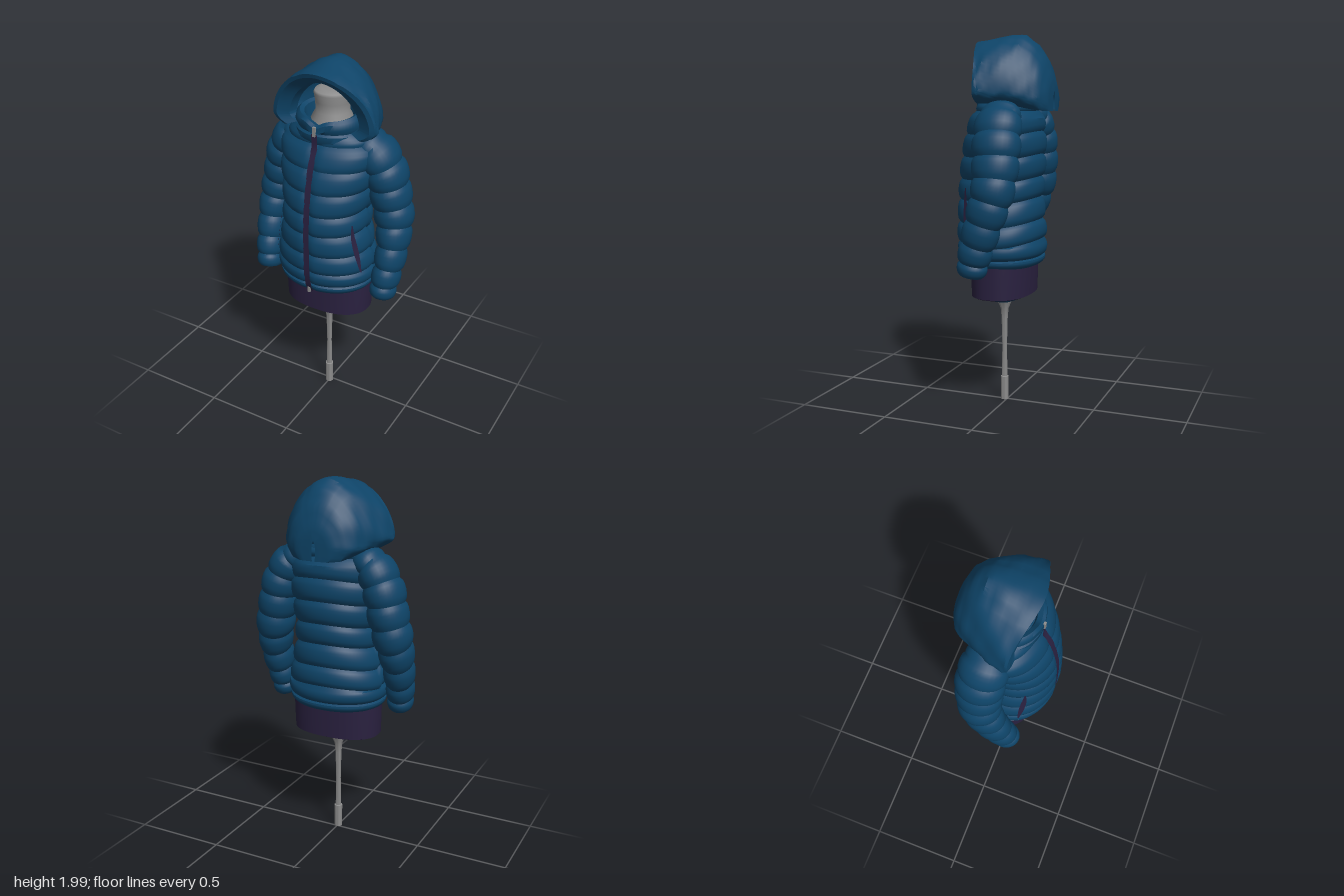
import * as THREE from 'three';
import { toCreasedNormals } from 'three/addons/utils/BufferGeometryUtils.js';

const V = (x, y, z) => new THREE.Vector3(x, y, z);

// Skin a list of rings (each an array of points) with quads
function loft(rows, closed = true, crease = 0.7) {
  const n = rows[0].length, index = [];
  for (let i = 0; i < rows.length - 1; i++) {
    for (let j = 0; j < (closed ? n : n - 1); j++) {
      const k = (j + 1) % n;
      const a = i * n + j, b = i * n + k, c = (i + 1) * n + k, d = (i + 1) * n + j;
      index.push(a, b, c, a, c, d);
    }
  }
  const geo = new THREE.BufferGeometry().setFromPoints(rows.flat());
  geo.setIndex(index);
  geo.computeVertexNormals();
  return toCreasedNormals(geo, crease);
}

// Smooth lookup in a table whose first column is the key
function lookup(table, t) {
  let i = 0;
  while (i < table.length - 2 && t > table[i + 1][0]) i++;
  const a = table[i], b = table[i + 1];
  const f = THREE.MathUtils.clamp((t - a[0]) / (b[0] - a[0]), 0, 1);
  return a.map((v, k) => v + (b[k] - v) * f);
}

// Horizontal oval with its own front and back depth; angle 0 is the front
function oval(angle, y, hx, zf, zb, power = 1) {
  const s = Math.sin(angle), c = Math.cos(angle), mid = (zf + zb) / 2, hz = (zf - zb) / 2;
  return V(hx * Math.sign(s) * Math.abs(s) ** power, y, mid + hz * Math.sign(c) * Math.abs(c) ** power);
}
const ring = (n, f) => Array.from({ length: n }, (_, j) => f(j / n * Math.PI * 2));

// Torso outline: height, half width, front z, back z
const TORSO = [
  [0.775, 0.25, 0.23, -0.185], [0.82, 0.275, 0.25, -0.205], [0.9, 0.28, 0.264, -0.212],
  [1.0, 0.264, 0.265, -0.205], [1.13, 0.24, 0.265, -0.198], [1.25, 0.236, 0.258, -0.203],
  [1.36, 0.25, 0.242, -0.208], [1.48, 0.268, 0.215, -0.203], [1.57, 0.27, 0.18, -0.187],
  [1.63, 0.225, 0.145, -0.165], [1.67, 0.165, 0.125, -0.13], [1.69, 0.11, 0.1, -0.1]];
const SEAMS = [0.775, 0.825, 0.905, 1.01, 1.13, 1.24, 1.36, 1.48, 1.6, 1.69];

function torsoPoint(angle, y, puff) {
  const [, hx, zf, zb] = lookup(TORSO, y), d = 0.02 * (1 - puff);
  const p = oval(angle, y, hx - d, zf - d * 0.8, zb + d, 0.95);
  if (p.z > 0) p.z -= 0.014 * Math.exp(-((p.x / 0.02) ** 2)); // groove for the zip
  // quilting dips toward the sides at the back
  if (p.z < 0 && y > 0.9 && y < 1.55) p.y += 0.015 * Math.cos(angle * 2);
  return p;
}

function torso() {
  const rows = [ring(80, a => oval(a, 0.8, 0.2, 0.15, -0.12))];
  for (let s = 0; s < SEAMS.length - 1; s++) {
    for (let k = s ? 1 : 0; k <= 7; k++) {
      const f = k / 7, y = THREE.MathUtils.lerp(SEAMS[s], SEAMS[s + 1], f);
      rows.push(ring(80, a => torsoPoint(a, y, Math.sqrt(Math.sin(Math.PI * f) + 1e-6))));
    }
  }
  return loft(rows);
}

// Sleeve: centre x, y, z, half width, half depth from shoulder to cuff
const SLEEVE = [
  [0.15, 1.6, -0.04, 0.07, 0.09], [0.23, 1.555, -0.045, 0.1, 0.125], [0.29, 1.45, -0.055, 0.11, 0.13],
  [0.32, 1.33, -0.06, 0.108, 0.125], [0.348, 1.2, -0.055, 0.106, 0.115], [0.364, 1.08, -0.025, 0.09, 0.107],
  [0.364, 0.95, 0.015, 0.081, 0.097], [0.356, 0.84, 0.048, 0.075, 0.087], [0.35, 0.765, 0.062, 0.068, 0.075]];

function sleeve(side) {
  const forward = side < 0 ? 0.04 : 0;
  const path = new THREE.CatmullRomCurve3(SLEEVE.map(([x, y, z], i) =>
    V(side * (x - forward * 0.4 * (i / 8) ** 2), y, z + forward * (i / 8) ** 2)));
  const sizes = SLEEVE.map((s, i) => [i / 8, s[3], s[4]]);
  const rows = [], puffs = 9, steps = 6;
  const addRow = (t, shrink, scale = 1) => {
    const c = path.getPoint(t), T = path.getTangent(t), [, rx, rz] = lookup(sizes, t);
    const u = V(1, 0, 0).addScaledVector(T, -T.x).normalize(), v = T.clone().cross(u);
    rows.push(ring(32, a => c.clone()
      .addScaledVector(u, Math.cos(a) * (rx - shrink) * scale)
      .addScaledVector(v, Math.sin(a) * (rz - shrink) * scale)));
  };
  for (let i = 0; i <= puffs * steps; i++) {
    const t = i / (puffs * steps);
    addRow(t, 0.014 * (1 - Math.sqrt(Math.abs(Math.sin(Math.PI * t * puffs)))));
  }
  addRow(1, 0.014, 0.75); // cuff folds inward
  addRow(0.96, 0.014, 0.7);
  addRow(0.96, 0.014, 0.01);
  return loft(rows);
}

// Hood arches from back to front: half width, top y, base y, drop, top z, base z
const HOOD = [
  [0.01, 1.7, 1.66, 0.1, -0.263, -0.262], [0.1, 1.77, 1.66, 0.1, -0.255, -0.258],
  [0.165, 1.87, 1.67, 0.11, -0.222, -0.225], [0.205, 1.945, 1.68, 0.11, -0.172, -0.17],
  [0.238, 1.99, 1.69, 0.1, -0.11, -0.1], [0.268, 1.995, 1.695, 0.1, -0.03, -0.03],
  [0.292, 1.975, 1.7, 0.1, 0.08, 0.045], [0.29, 1.965, 1.7, 0.1, 0.155, 0.082],
  [0.265, 1.945, 1.7, 0.09, 0.15, 0.09], [0.2, 1.9, 1.7, 0.06, 0.09, 0.07],
  [0.185, 1.89, 1.7, 0.06, 0.02, 0.02]];

function hood() {
  const table = HOOD.map((h, i) => [i, ...h]), rows = [], n = 56;
  for (let r = 0; r <= (HOOD.length - 1) * 3; r++) {
    const [, hw, top, base, drop, zt, zb] = lookup(table, r / 3), row = [];
    for (let j = 0; j <= n; j++) {
      const a = -0.65 + (Math.PI + 1.3) * j / n, s = Math.sin(a), c = Math.cos(a);
      // three padded panels with soft wrinkles
      const fold = r < 21 ? 0.005 * Math.sin(r * 1.1 + 3 * s) * Math.sin(a * 7 + r * 0.5) : 0;
      const seam = r < 22 ? 0.008 * Math.exp(-(((Math.abs(c) - 0.45) / 0.05) ** 2)) : 0;
      const k = 1 + fold / 0.2 - seam / 0.25;
      const x = hw * Math.sign(c) * Math.abs(c) ** 1.12 * k;
      const y = s > 0 ? base + (top - base) * s ** 1.12 * (1 + fold * 2 - seam) : base + drop * s;
      row.push(V(x, y, zb + (zt - zb) * Math.max(s, 0) ** 3));
    }
    rows.push(row);
  }
  return loft(rows, false, 0.6);
}

// Stand-up collar, two padded rolls, turned inward at the top
function collar() {
  const profile = [[1.59, 0.16, 0.135, -0.15], [1.62, 0.185, 0.158, -0.16], [1.65, 0.18, 0.158, -0.155],
    [1.66, 0.168, 0.148, -0.145], [1.685, 0.18, 0.162, -0.15], [1.715, 0.172, 0.16, -0.145],
    [1.73, 0.155, 0.145, -0.13], [1.72, 0.135, 0.12, -0.11], [1.64, 0.12, 0.1, -0.1]];
  return loft(profile.map(([y, hx, zf, zb]) => ring(56, a => {
    const p = oval(a, y, hx, zf, zb);
    if (y > 1.66) p.y += 0.03 * (1 - Math.cos(a)) / 2 - 0.025 * Math.exp(-((p.x / 0.04) ** 2)) * (p.z > 0);
    return p;
  })));
}

// Band following the torso between two heights
function band(y0, y1, edges) {
  const rows = [];
  for (let i = 0; i <= 24; i++) rows.push(edges(THREE.MathUtils.lerp(y0, y1, i / 24), i / 24));
  return loft(rows, false);
}

export function createModel() {
  const model = new THREE.Group();
  model.name = 'jacketOnStand';
  const material = (name, color, side = THREE.FrontSide) => {
    const m = new THREE.MeshStandardMaterial({ color, side });
    m.name = name;
    return m;
  };
  const blue = material('paddedBlue', 0x0e4468, THREE.DoubleSide);
  const plum = material('darkPlum', 0x2a2140, THREE.DoubleSide);
  const grey = material('standGrey', 0x8c8c8c);
  const add = (name, geo, mat, x = 0, y = 0, z = 0) => {
    const mesh = new THREE.Mesh(geo, mat);
    mesh.name = name;
    mesh.position.set(x, y, z);
    model.add(mesh);
    return mesh;
  };
  const lathe = pts => new THREE.LatheGeometry(pts.map(p => new THREE.Vector2(...p)), 28);

  // Jacket
  add('torso', torso(), blue);
  add('leftSleeve', sleeve(1), blue);
  add('rightSleeve', sleeve(-1), blue);
  add('collar', collar(), blue);
  add('hood', hood(), blue);

  // Zip down the front, with pulls at both ends
  add('zip', band(0.775, 1.66, y => {
    const z = y > 1.59 ? 0.163 : Math.max(lookup(TORSO, y)[2] - 0.008, 0.163);
    return [V(-0.017, y, z), V(0.017, y, z)];
  }), plum);
  add('upperZipPull', new THREE.BoxGeometry(0.016, 0.05, 0.012), grey, 0, 1.675, 0.163);
  add('lowerZipPull', new THREE.BoxGeometry(0.014, 0.03, 0.012), grey, 0, 0.785, 0.233);

  // Slanted side pockets
  for (const side of [1, -1]) {
    add(side > 0 ? 'leftPocket' : 'rightPocket', band(0.92, 1.2, (y, f) => {
      const mid = 1.15 - 0.1 * f, half = 0.015 + 0.05 * Math.sin(Math.PI * f);
      return [-1, 1].map(e => {
        const p = torsoPoint(side * (mid + e * half), y, 1);
        return p.add(V(side * 0.005, 0, 0.004));
      });
    }), plum);
  }

  // Dark lower band of the form and its underside
  const skirt = [[0.61, 0.235, 0.16, -0.135], [0.615, 0.245, 0.17, -0.145], [0.7, 0.248, 0.172, -0.148],
    [0.8, 0.25, 0.172, -0.15]];
  add('lowerBand', loft(skirt.map(([y, ...s]) => ring(48, a => oval(a, y, ...s, 0.85)))), plum);
  const under = [[0.555, 0.01, 0.02, 0.0], [0.56, 0.05, 0.045, -0.02], [0.585, 0.14, 0.1, -0.08], [0.612, 0.238, 0.163, -0.138]];
  add('underside', loft(under.map(([y, ...s]) => ring(48, a => oval(a, y, ...s, 0.85)))), blue);

  // Neck block and pole
  add('neck', lathe([[0.13, 1.6], [0.115, 1.68], [0.088, 1.73], [0.088, 1.78], [0.096, 1.825], [0.09, 1.838],
    [0.06, 1.848], [0, 1.85]]), grey, 0, 0, -0.02);
  add('pole', toCreasedNormals(lathe([[0, 0], [0.022, 0], [0.022, 0.13], [0.016, 0.132], [0.013, 0.3], [0.017, 0.46],
    [0.022, 0.52], [0.04, 0.56], [0.045, 0.575]]), 0.7), grey, 0, 0, 0.016);
  return model;
}
